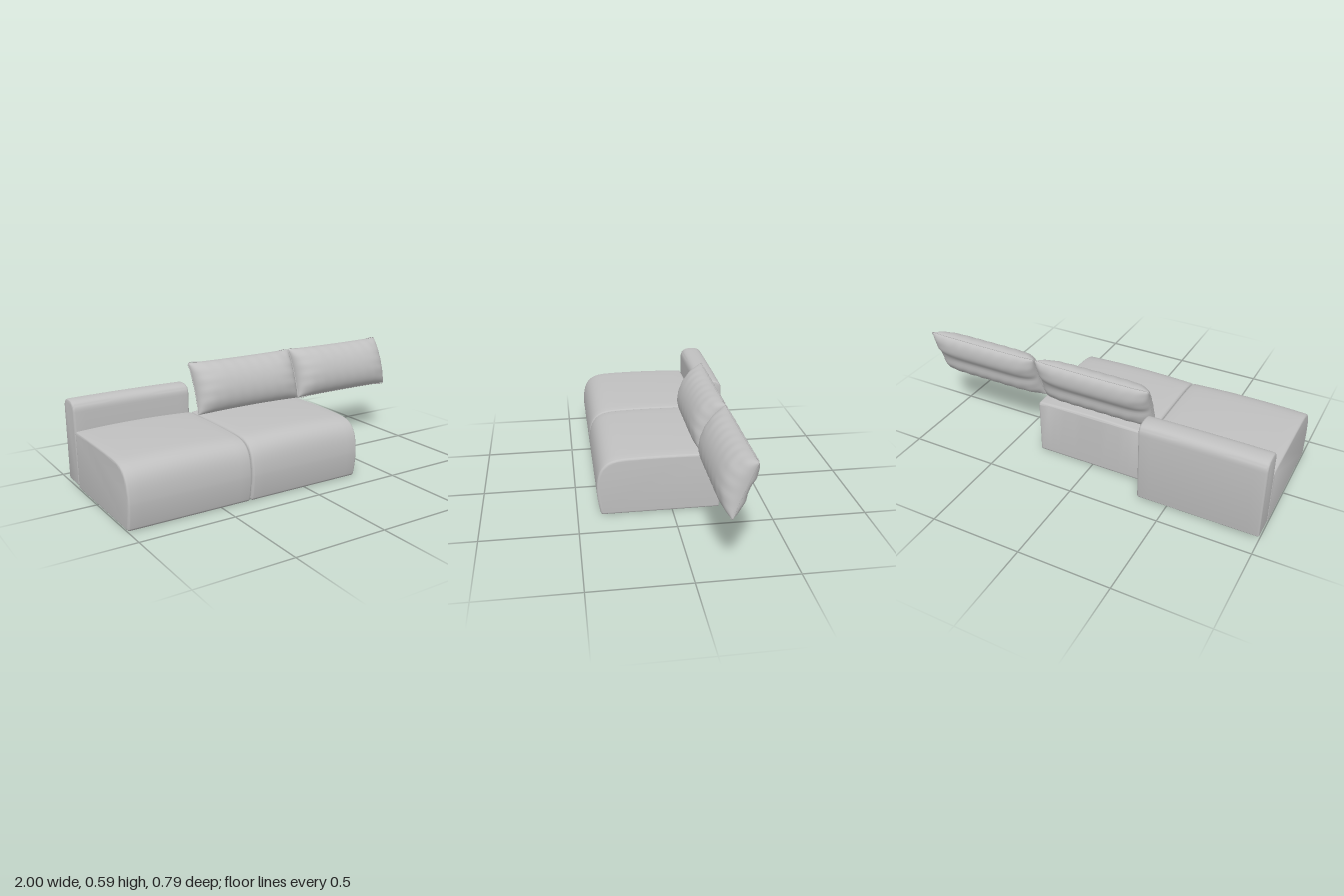
import * as THREE from 'three';
import { toCreasedNormals } from 'three/addons/utils/BufferGeometryUtils.js';

const fabric = new THREE.MeshStandardMaterial({ color: 0xc0c0c0 });
fabric.name = 'greyFabric';

// Side profile (x = depth, y = height) extruded across the width with soft edges.
function block(name, shape, width, centreX, crown) {
  const bevel = 0.012;
  const geo = new THREE.ExtrudeGeometry(shape, {
    depth: width - 2 * bevel, steps: 12, curveSegments: 10,
    bevelThickness: bevel, bevelSize: bevel, bevelOffset: -bevel, bevelSegments: 4,
  });
  geo.translate(0, 0, -(width - 2 * bevel) / 2);
  geo.rotateY(-Math.PI / 2);
  // Puff the upholstery gently towards the middle of the width
  const p = geo.attributes.position;
  for (let i = 0; i < p.count; i++) {
    const t = p.getX(i) / (width / 2);
    const y = p.getY(i);
    p.setY(i, y + crown * (1 - t * t) * THREE.MathUtils.smoothstep(y, 0.1, 0.32));
  }
  const mesh = new THREE.Mesh(toCreasedNormals(geo, 0.7), fabric);
  mesh.name = name;
  mesh.position.x = centreX;
  return mesh;
}

function seatShape() {
  const s = new THREE.Shape();
  s.moveTo(-0.243, 0);
  s.lineTo(0.365, 0);
  s.quadraticCurveTo(0.376, 0, 0.379, 0.012);
  s.bezierCurveTo(0.388, 0.05, 0.396, 0.1, 0.396, 0.145);
  s.bezierCurveTo(0.392, 0.25, 0.365, 0.307, 0.26, 0.314);
  s.bezierCurveTo(0.15, 0.321, -0.05, 0.321, -0.24, 0.313);
  s.quadraticCurveTo(-0.255, 0.312, -0.255, 0.298);
  s.lineTo(-0.255, 0.012);
  s.quadraticCurveTo(-0.255, 0, -0.243, 0);
  return s;
}

function backShape() {
  const s = new THREE.Shape();
  s.moveTo(-0.381, 0.013);
  s.lineTo(-0.271, 0.013);
  s.quadraticCurveTo(-0.259, 0.013, -0.259, 0.025);
  s.lineTo(-0.258, 0.41);
  s.bezierCurveTo(-0.258, 0.45, -0.28, 0.467, -0.325, 0.467);
  s.bezierCurveTo(-0.375, 0.467, -0.394, 0.45, -0.394, 0.41);
  s.lineTo(-0.394, 0.025);
  s.quadraticCurveTo(-0.394, 0.013, -0.381, 0.013);
  return s;
}

const HALF_W = 0.331, HALF_H = 0.145;

// Outline of a cushion: sides drawn in a little between the four corners
function outline(t, s) {
  return [t * (HALF_W - 0.008 * (1 - s * s)), s * (HALF_H - 0.003 * (1 - t * t))];
}

// One puffed face of a cushion; side is +1 for front, -1 for back
function cushionFace(side) {
  const geo = new THREE.PlaneGeometry(2, 2, 64, 32);
  if (side < 0) geo.rotateY(Math.PI);
  const p = geo.attributes.position;
  for (let i = 0; i < p.count; i++) {
    const t = Math.sin(p.getX(i) * Math.PI / 2);
    const s = Math.sin(p.getY(i) * Math.PI / 2);
    const puff = Math.sqrt(Math.max(0, (1 - s * s) * (1 - t ** 6)));
    let d = side > 0 ? 0.098 : 0.064 - 0.02 * Math.exp(-((s / 0.3) ** 2));
    // Small gathers running in from the seam
    d += 0.004 * s * s * Math.sin(26 * t + 4 * s) + 0.003 * t ** 4 * Math.sin(15 * s + 2 * t);
    const [x, y] = outline(t, s);
    p.setXYZ(i, x, y, side * d * puff);
  }
  geo.computeVertexNormals();
  return geo;
}

function cushion(name, x) {
  const group = new THREE.Group();
  group.name = name;
  for (const side of [1, -1]) {
    const face = new THREE.Mesh(cushionFace(side), fabric);
    face.name = side > 0 ? 'cushionFront' : 'cushionBack';
    group.add(face);
  }
  // Piped seam around the border
  const corners = [[-1, -1], [1, -1], [1, 1], [-1, 1]];
  const points = [];
  corners.forEach(([t, s], c) => {
    const [t2, s2] = corners[(c + 1) % 4];
    for (let k = 0; k < 8; k++) {
      const f = k / 8;
      points.push(new THREE.Vector3(...outline(t + (t2 - t) * f, s + (s2 - s) * f), 0));
    }
  });
  const path = new THREE.CatmullRomCurve3(points, true);
  const seam = new THREE.Mesh(new THREE.TubeGeometry(path, 128, 0.0025, 6, true), fabric);
  seam.name = 'cushionSeam';
  group.add(seam);
  // Lean back
  group.position.set(x, 0.449, -0.2135);
  group.rotation.x = -Math.atan2(0.107, 0.27);
  return group;
}

export function createModel() {
  const model = new THREE.Group();
  model.name = 'modularSofa';
  model.add(
    block('rightSeat', seatShape(), 0.662, -0.668, 0.01),
    block('middleSeat', seatShape(), 0.66, -0.002, 0.01),
    block('backrest', backShape(), 0.662, -0.668, 0.003),
    cushion('middleCushion', -0.002),
    cushion('leftCushion', 0.665),
  );
  return model;
}
